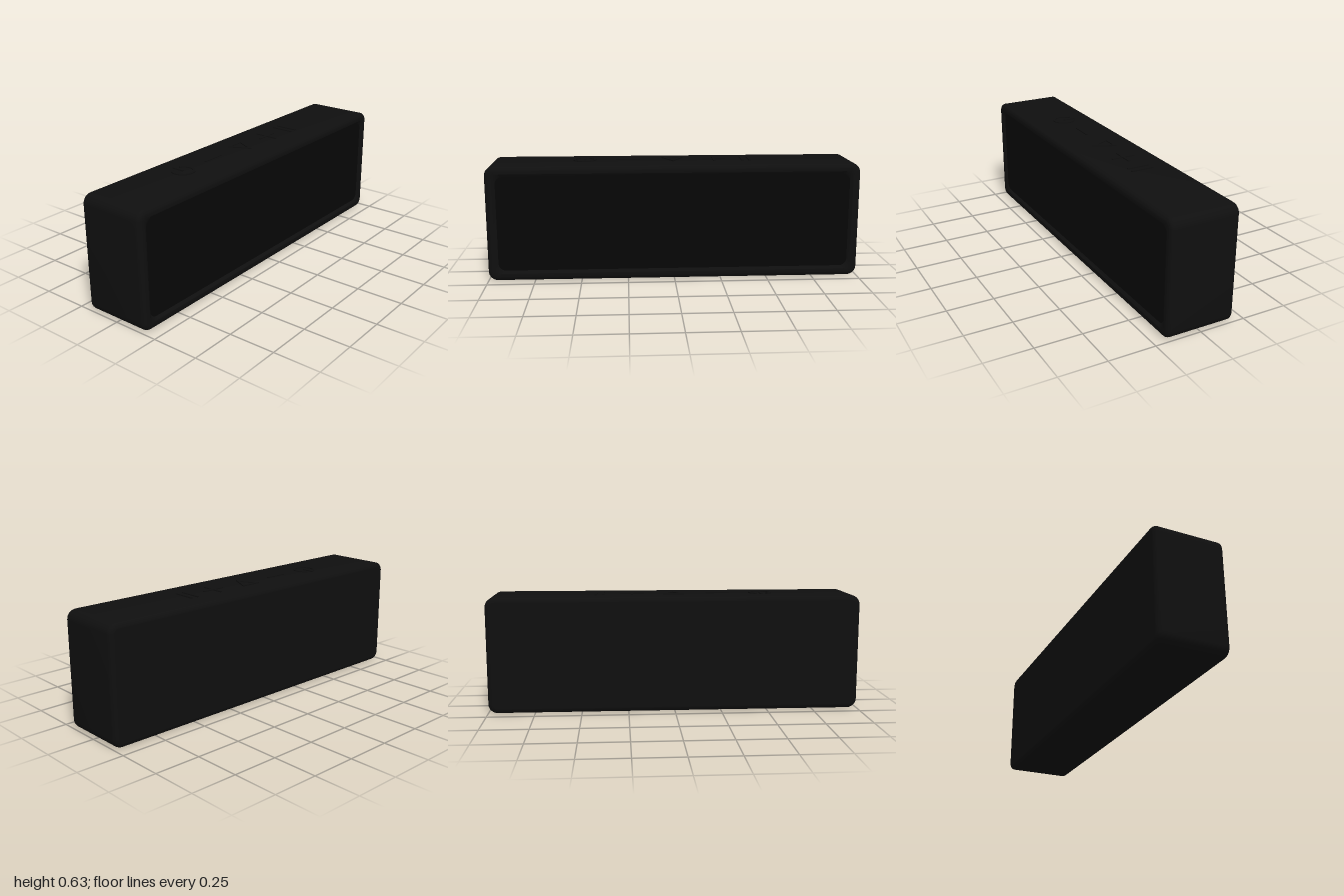
import * as THREE from 'three';
import { toCreasedNormals } from 'three/addons/utils/BufferGeometryUtils.js';

const HEIGHT = 0.62, LENGTH = 2, HALF_WIDTH = 0.1875;

// Rounded rectangle across the long side, as (z, y) points, counter-clockwise
function outline(inset, radius, steps = 8) {
  const points = [];
  const hz = LENGTH / 2 - inset - radius, hy = HEIGHT / 2 - inset - radius;
  [[1, 1], [-1, 1], [-1, -1], [1, -1]].forEach(([sz, sy], corner) => {
    for (let i = 0; i <= steps; i++) {
      const t = (corner + i / steps) * Math.PI / 2;
      points.push(new THREE.Vector2(sz * hz + radius * Math.cos(t), HEIGHT / 2 + sy * hy + radius * Math.sin(t)));
    }
  });
  return points;
}

// Skin joining rounded rectangles, each given as [x, inset, radius]
function loft(rings) {
  const positions = [], index = [];
  const loops = rings.map(([, inset, radius]) => outline(inset, radius));
  const n = loops[0].length;
  loops.forEach((loop, i) => loop.forEach(p => positions.push(rings[i][0], p.y, p.x)));
  for (let i = 0; i < rings.length - 1; i++) {
    for (let j = 0; j < n; j++) {
      const k = (j + 1) % n, a = i * n + j, b = a + n, c = (i + 1) * n + k, d = i * n + k;
      index.push(a, b, c, a, c, d);
    }
  }
  const geometry = new THREE.BufferGeometry();
  geometry.setAttribute('position', new THREE.Float32BufferAttribute(positions, 3));
  geometry.setIndex(index);
  return toCreasedNormals(geometry, 0.6);
}

function panel(x, inset, radius, side) {
  return new THREE.ShapeGeometry(new THREE.Shape(outline(inset, radius)))
    .rotateY(side * Math.PI / 2).translate(x, 0, 0);
}

export function createModel() {
  const group = new THREE.Group();
  const bodyMaterial = new THREE.MeshStandardMaterial({ color: 0x0f0f0f });
  bodyMaterial.name = 'matte black casing';
  const grilleMaterial = new THREE.MeshStandardMaterial({ color: 0x070707 });
  grilleMaterial.name = 'deep black grille';

  function add(name, geometry, material = bodyMaterial, parent = group) {
    const mesh = new THREE.Mesh(geometry, material);
    mesh.name = name;
    parent.add(mesh);
    return mesh;
  }

  // Casing with rounded edges, and a rim that dips into the grille opening
  const edge = 0.025, rings = [];
  for (let i = 0; i <= 5; i++) {
    const t = i / 5 * Math.PI / 2;
    const inset = edge * (1 - Math.sin(t));
    rings.push([-HALF_WIDTH + edge * (1 - Math.cos(t)), inset, 0.05 - inset]);
  }
  for (let i = 0; i <= 5; i++) {
    const t = i / 5 * Math.PI / 2;
    const inset = edge * (1 - Math.cos(t));
    rings.push([HALF_WIDTH - edge * (1 - Math.sin(t)), inset, 0.05 - inset]);
  }
  rings.push([HALF_WIDTH, 0.04, 0.04], [HALF_WIDTH - 0.012, 0.055, 0.04]);
  add('casing', loft(rings));
  add('backPanel', panel(-HALF_WIDTH, edge, 0.05 - edge, -1));
  add('grille', panel(HALF_WIDTH - 0.012, 0.055, 0.04, 1), grilleMaterial);

  // Raised control marks along the top
  const controls = new THREE.Group();
  controls.name = 'controls';
  controls.position.set(-0.012, HEIGHT, 0);
  group.add(controls);
  const rise = 0.006, stroke = 0.012;

  const bar = (name, width, depth, x, z) =>
    add(name, new THREE.BoxGeometry(width, rise, depth).translate(x, rise / 2, z), bodyMaterial, controls);
  const raised = (name, shape, z) =>
    add(name, new THREE.ExtrudeGeometry(shape, { depth: rise, bevelEnabled: false, curveSegments: 32 })
      .rotateX(-Math.PI / 2).translate(0, 0, z), bodyMaterial, controls);

  // Power button: open ring and a stroke through its gap
  const arc = new THREE.Shape();
  arc.absarc(0, 0, 0.062, -Math.PI + 0.5, Math.PI - 0.5, false);
  arc.absarc(0, 0, 0.05, Math.PI - 0.5, -Math.PI + 0.5, true);
  raised('powerRing', arc, 0.48);
  bar('powerStroke', 0.068, stroke, -0.034, 0.48);

  // Volume buttons
  bar('minusButton', stroke, 0.13, 0, 0.245);
  bar('plusLong', stroke, 0.13, 0, -0.225);
  for (const s of [-1, 1]) bar('plusArm', 0.059, stroke, s * 0.0355, -0.225);

  // Triangle button outline
  const triangle = new THREE.Shape([[0.065, 0], [-0.055, 0.058], [-0.055, -0.058]].map(p => new THREE.Vector2(...p)));
  triangle.holes.push(new THREE.Path([[0.038, 0], [-0.043, -0.039], [-0.043, 0.039]].map(p => new THREE.Vector2(...p))));
  raised('triangleButton', triangle, 0);

  // Twin bars
  for (const z of [-0.38, -0.42]) bar('twinBar', 0.125, stroke, 0, z);

  return group;
}
